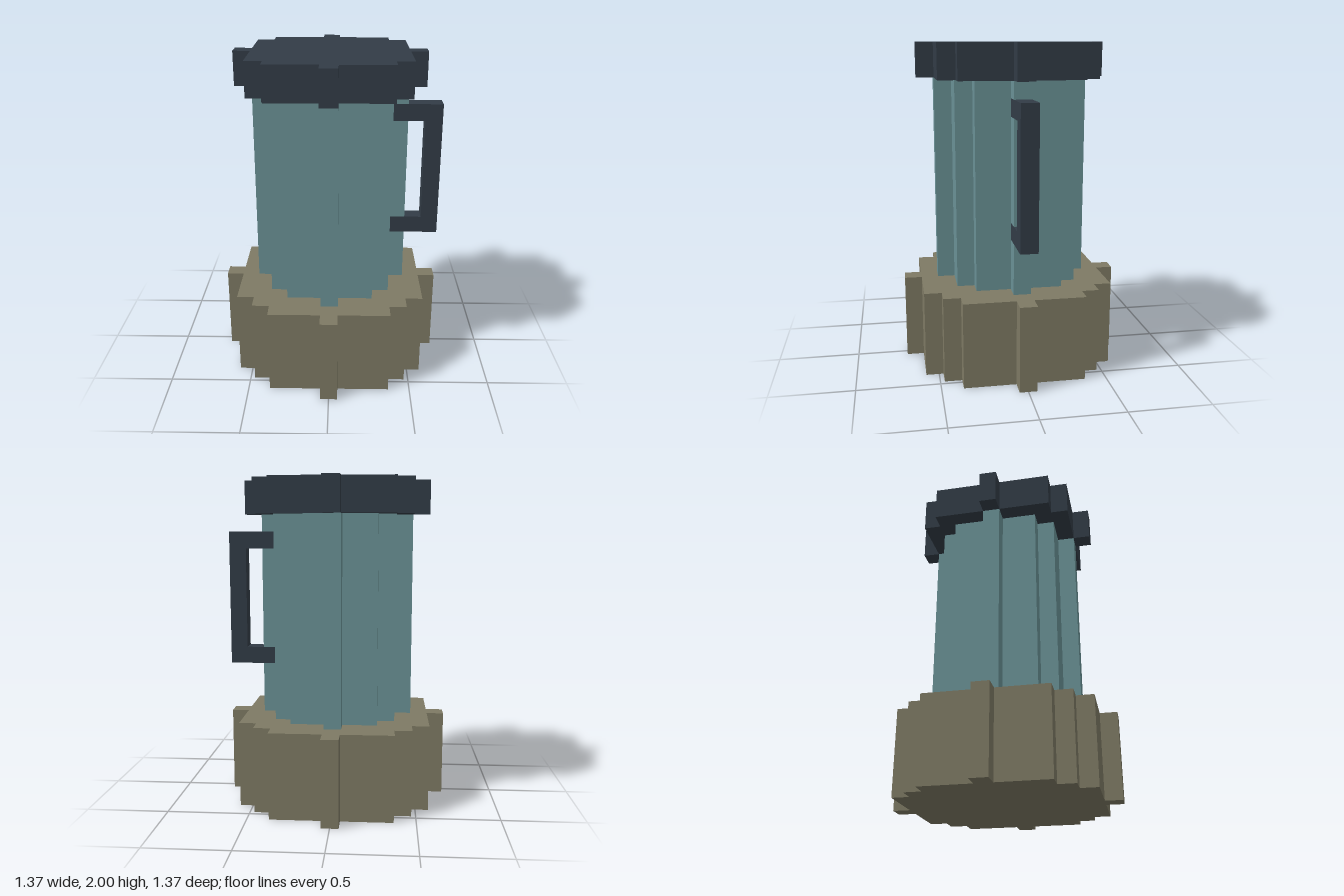
import * as THREE from 'three';

const U = 2 / 19; // one block; all sizes below are in blocks

const dark = new THREE.MeshStandardMaterial({ color: 0x323c46 });
const teal = new THREE.MeshStandardMaterial({ color: 0x6a9296 });
const tan = new THREE.MeshStandardMaterial({ color: 0x7e7a64 });

// Stepped "round" outline: one quarter of the steps, turned four times
function steppedOutline(quarter, skip = 0) {
  const pts = [];
  for (let q = 0; q < 4; q++) {
    quarter.forEach(([x, y], i) => {
      if (q === 0 && i < skip) return;
      for (let k = 0; k < q; k++) [x, y] = [-y, x];
      pts.push(new THREE.Vector2(x * U, y * U));
    });
  }
  return new THREE.Shape(pts);
}

// Upright prism of an outline between two heights
function prism(name, shape, y0, y1, material) {
  const geo = new THREE.ExtrudeGeometry(shape, { depth: (y1 - y0) * U, bevelEnabled: false });
  geo.rotateX(-Math.PI / 2);
  geo.translate(0, y0 * U, 0);
  const mesh = new THREE.Mesh(geo, material);
  mesh.name = name;
  return mesh;
}

export function createModel() {
  const model = new THREE.Group();
  model.name = 'mug';

  // Wide base
  const baseSteps = [[6.5, -0.5], [6.5, 0.5], [5.5, 0.5], [5.5, 3.5], [4.5, 3.5],
    [4.5, 4.5], [3.5, 4.5], [3.5, 5.5], [0.5, 5.5]];
  model.add(prism('base', steppedOutline(baseSteps), 0, 5, tan));

  // Body, without its +x rib, which the handle interrupts
  const bodySteps = [[4.5, -0.5], [4.5, 0.5], [3.5, 0.5], [3.5, 2.5], [2.5, 2.5],
    [2.5, 3.5], [0.5, 3.5]];
  model.add(prism('body', steppedOutline(bodySteps, 2), 5, 17, teal));

  // Rib pieces between the handle's ends
  for (const [y0, y1] of [[5, 8], [9, 15], [16, 17]]) {
    const rib = new THREE.Mesh(new THREE.BoxGeometry(U, (y1 - y0) * U, U), teal);
    rib.position.set(4 * U, (y0 + y1) / 2 * U, 0);
    rib.name = 'bodyRib';
    model.add(rib);
  }

  // Lid
  const lidSteps = [[5.5, -0.5], [5.5, 0.5], [4.5, 0.5], [4.5, 3.5], [3.5, 3.5],
    [3.5, 4.5], [0.5, 4.5]];
  model.add(prism('lid', steppedOutline(lidSteps), 17, 19, dark));

  // C-shaped handle on the left side
  const profile = [[3.5, 8], [6.5, 8], [6.5, 16], [3.5, 16], [3.5, 15], [5.5, 15], [5.5, 9], [3.5, 9]];
  const handleShape = new THREE.Shape(profile.map(([x, y]) => new THREE.Vector2(x * U, y * U)));
  const handleGeo = new THREE.ExtrudeGeometry(handleShape, { depth: U, bevelEnabled: false });
  handleGeo.translate(0, 0, -U / 2);
  const handle = new THREE.Mesh(handleGeo, dark);
  handle.name = 'handle';
  model.add(handle);

  return model;
}
